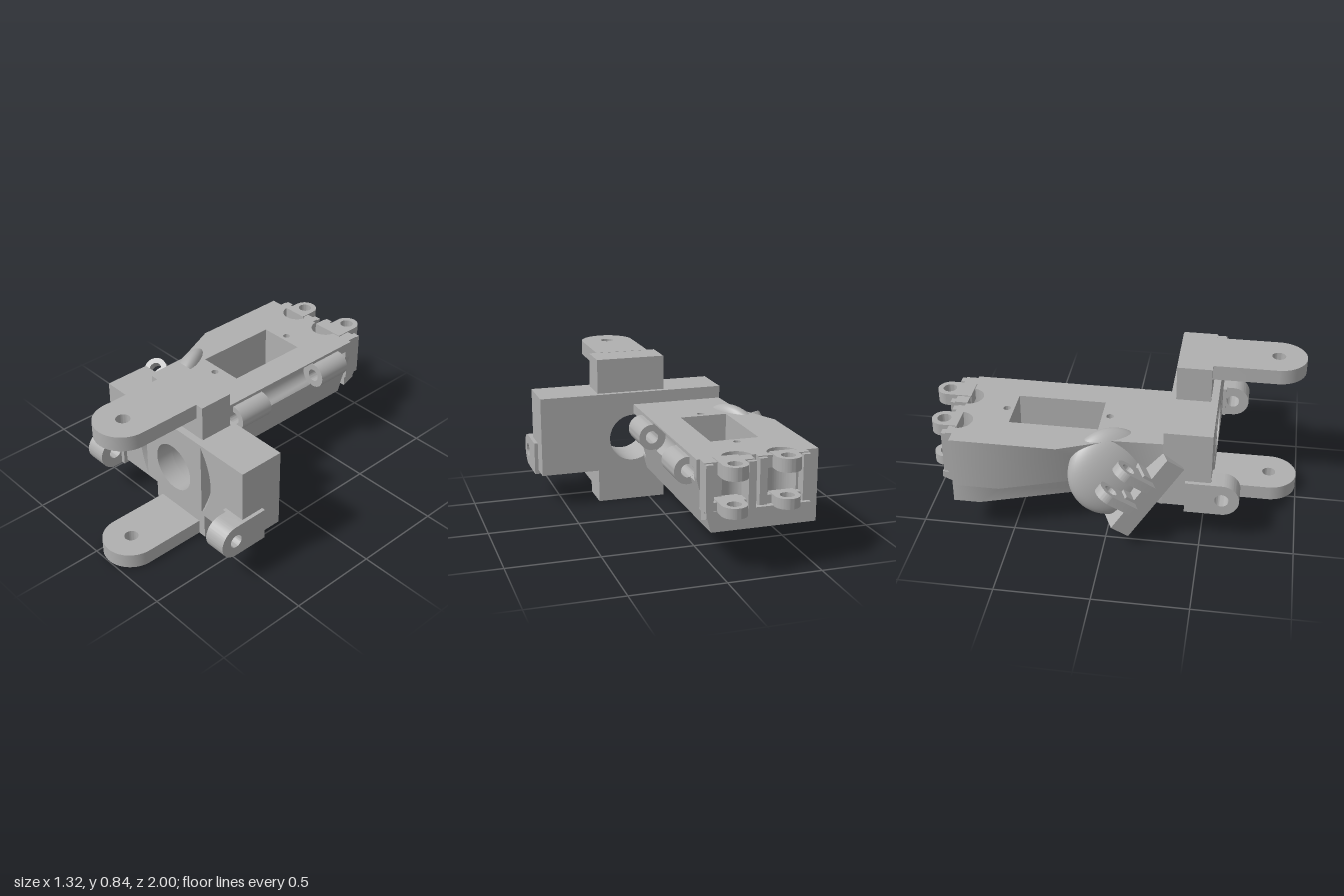
import * as THREE from 'three';
import { toCreasedNormals } from 'three/addons/utils/BufferGeometryUtils.js';

const grey = new THREE.MeshStandardMaterial({ color: 0xb0b0b0 });
grey.name = 'plain grey';

function add(parent, name, geo, x = 0, y = 0, z = 0) {
  const m = new THREE.Mesh(geo, grey);
  m.name = name;
  m.position.set(x, y, z);
  parent.add(m);
  return m;
}

// Box given by its limits on each axis
function box(parent, name, x0, x1, y0, y1, z0, z1) {
  return add(parent, name, new THREE.BoxGeometry(x1 - x0, y1 - y0, z1 - z0),
    (x0 + x1) / 2, (y0 + y1) / 2, (z0 + z1) / 2);
}

function extrude(shape, depth) {
  const g = new THREE.ExtrudeGeometry(shape, { depth, bevelEnabled: false, curveSegments: 24 });
  return toCreasedNormals(g, 0.5);
}

const polygon = (pts) => new THREE.Shape(pts.map(([x, y]) => new THREE.Vector2(x, y)));
const circle = (x, y, r) => new THREE.Path().absarc(x, y, r, 0, Math.PI * 2, true);
const rect = (x0, x1, y0, y1) => polygon([[x0, y0], [x1, y0], [x1, y1], [x0, y1]]);

// Round-ended tab with a pin hole at the origin; its stem runs down -y
function tab(r, hole, stem, thick) {
  const s = new THREE.Shape();
  s.moveTo(-r, -stem);
  s.lineTo(r, -stem);
  s.lineTo(r, 0);
  s.absarc(0, 0, r, 0, Math.PI, false);
  s.closePath();
  s.holes.push(circle(0, 0, hole));
  return extrude(s, thick).translate(0, 0, -thick / 2);
}

// Lens bounded by a straight chord and an arc bulging towards dir
function lens(chordX, sag, dir) {
  const pts = [];
  for (let i = 0; i <= 16; i++) {
    const t = -1 + i / 8;
    pts.push([chordX + dir * sag * (1 - t * t), 0.42 + 0.212 * t]);
  }
  return polygon(pts);
}

// Sloping floor of a lens: flush along the arc, deepest at the chord
function lensFloor(chordX, sag, dir) {
  const g = new THREE.PlaneGeometry(1, 2, 4, 16);
  const p = g.attributes.position;
  for (let i = 0; i < p.count; i++) {
    const t = p.getY(i);
    const w = p.getX(i) * dir + 0.5;
    p.setXYZ(i, chordX + dir * sag * (1 - t * t) * w, 0.42 + 0.212 * t, 0.545 - 0.09 * (1 - t * t) * (1 - w));
  }
  g.computeVertexNormals();
  return g;
}

function wrist(root) {
  const g = new THREE.Group();
  g.name = 'wrist';
  root.add(g);
  const outline = () => {
    const s = rect(-0.423, 0.636, 0.197, 0.645);
    s.holes.push(circle(0.105, 0.38, 0.134));
    return s;
  };
  add(g, 'crossBlockBack', extrude(outline(), 0.155), 0, 0, 0.29);
  const front = outline();
  for (const cut of [[-0.115, 0.052, -1], [0.325, 0.073, 1]]) {
    front.holes.push(lens(...cut));
    add(g, 'sideCut', lensFloor(...cut));
  }
  add(g, 'crossBlockFront', extrude(front, 0.1), 0, 0, 0.445);

  // Upper and lower posts with forward arms
  for (const [name, y0, y1, armY] of [['upper', 0.645, 0.84, 0.8], ['lower', 0, 0.197, 0.0425]]) {
    box(g, name + 'Post', -0.09, 0.3, y0, y1, 0.32, 0.506);
    add(g, name + 'Arm', tab(0.152, 0.037, 0.345, 0.082).rotateX(Math.PI / 2), 0.105, armY, 0.845);
  }

  // Side pivot lugs
  for (const [x0, x1, b0, b1] of [[-0.445, -0.326, -0.445, -0.302], [0.534, 0.656, 0.513, 0.656]]) {
    const geo = tab(0.092, 0.037, 0.195, x1 - x0).rotateX(Math.PI / 2).rotateZ(Math.PI / 2);
    add(g, 'pivotLug', geo, (x0 + x1) / 2, 0.265, 0.605);
    box(g, 'pivotLugFoot', b0, b1, 0.178, 0.357, 0.53, 0.565);
  }
}

// Sloping edge of the palm, optionally hollowed by a round groove along z
function edgeStrip(g, z0, z1, groove) {
  const pts = [[-0.03, 0.575], [-0.03, 0.19]];
  for (let i = 0; i <= 44; i++) {
    const y = 0.19 + 0.385 * i / 44;
    let x = Math.min(0.097, 0.02 + 0.27 * (y - 0.19));
    if (groove) {
      const [cx, cy, r] = groove;
      const d = r * r - (y - cy) ** 2;
      if (d > 0) x = Math.max(-0.025, Math.min(x, cx - Math.sqrt(d)));
    }
    pts.push([x, y]);
  }
  add(g, 'palmEdge', extrude(polygon(pts), z1 - z0), 0, 0, z0);
}

function palm(root) {
  const g = new THREE.Group();
  g.name = 'palm';
  root.add(g);

  // Plan outline, drawn with y = -z; finger sockets notch the far end
  const outline = (sockets) => {
    const s = new THREE.Shape();
    s.moveTo(-0.42, -0.29);
    s.lineTo(-0.03, -0.29);
    s.lineTo(-0.03, 0.81);
    for (const x of sockets) s.absarc(x, 0.81, 0.078, 0, -Math.PI, true);
    s.lineTo(-0.545, 0.81);
    s.lineTo(-0.545, 0.25);
    s.lineTo(-0.43, -0.02);
    s.closePath();
    return s;
  };
  // Raise along y; the thumb side is undercut more towards the bottom
  const layer = (name, shape, y0, y1) => {
    const geo = extrude(shape, y1 - y0).rotateX(-Math.PI / 2).translate(0, y0, 0);
    const p = geo.attributes.position;
    for (let i = 0; i < p.count; i++) {
      const k = (0.575 - p.getY(i)) / 0.385;
      if (p.getX(i) < -0.54 && p.getZ(i) > -0.3) p.setZ(i, -0.25 - 0.42 * k);
      else if (p.getX(i) < -0.425) { if (p.getZ(i) > 0) p.setX(i, -0.43 + 0.12 * k); }
    }
    add(g, name, toCreasedNormals(geo, 0.5));
  };
  layer('palmBase', outline([]), 0.19, 0.29);
  const top = outline([-0.112, -0.35]);
  top.holes.push(rect(-0.333, -0.07, 0.063, 0.54));
  for (const z of [0.58, 0.02]) top.holes.push(circle(-0.2, z, 0.02));
  layer('palmBody', top, 0.29, 0.575);

  // Hinge edge: grooves for the pin and the middle barrel, socket at the wrist
  const pin = [0.105, 0.487, 0.036];
  edgeStrip(g, 0.23, 0.29, [0.105, 0.39, 0.13]);
  edgeStrip(g, 0.18, 0.23, null);
  edgeStrip(g, -0.095, 0.18, pin);
  edgeStrip(g, -0.495, -0.095, [0.105, 0.487, 0.077]);
  edgeStrip(g, -0.77, -0.495, pin);
  edgeStrip(g, -0.81, -0.77, null);
  for (const [z0, z1] of [[-0.095, 0.115], [-0.7, -0.495]]) {
    const s = new THREE.Shape().absarc(0, 0, 0.071, 0, Math.PI * 2, false);
    s.holes.push(circle(0, 0, 0.035));
    add(g, 'hingeBarrel', extrude(s, z1 - z0), 0.105, 0.487, z0);
  }

  // Rounded swelling at the base of the thumb, flattened along its joint axis
  const swell = add(g, 'thumbSwelling', new THREE.SphereGeometry(1, 40, 28), -0.43, 0.385, 0.02);
  swell.scale.set(0.235, 0.235, 0.09);
  swell.quaternion.setFromUnitVectors(new THREE.Vector3(0, 0, 1), new THREE.Vector3(-0.85, 0.3, 0.43).normalize());
}

function knuckles(root) {
  const g = new THREE.Group();
  g.name = 'knuckles';
  root.add(g);
  for (const [x, z, x0, x1, back] of [[-0.35, -0.885, -0.48, -0.21, -0.87], [-0.053, -0.935, -0.18, 0.08, -0.9]]) {
    for (const [y0, y1] of [[0.51, 0.58], [0.32, 0.375]]) {
      add(g, 'fingerLug', tab(0.066, 0.037, -0.8 - z, y1 - y0).rotateX(-Math.PI / 2), x, (y0 + y1) / 2, z);
      // shoulders either side of the pin hole
      box(g, 'shoulder', x0, x - 0.055, y0, y1 - 0.005, back + 0.025, -0.805);
      box(g, 'shoulder', x + 0.055, x1, y0, y1 - 0.005, back + 0.025, -0.805);
    }
    for (const wx of [x0, x1 - 0.04]) box(g, 'sideWeb', wx, wx + 0.04, 0.33, 0.57, back, -0.805);
  }
  // Sloped lip below the lugs
  const lip = polygon([[0.805, 0.26], [0.88, 0.29], [0.88, 0.325], [0.805, 0.325]]);
  add(g, 'lowerLip', extrude(lip, 0.55).rotateY(Math.PI / 2), -0.48, 0, 0);
}

function thumb(root) {
  const g = new THREE.Group();
  g.name = 'thumb';
  g.position.set(-0.432, 0.294, 0.184);
  // local z runs up the thumb, local y out of its back
  const across = new THREE.Vector3(0.915, 0, -0.403).normalize();
  const along = new THREE.Vector3(0.25, 0.78, 0.57).normalize();
  const out = new THREE.Vector3().crossVectors(along, across).normalize();
  along.crossVectors(across, out);
  g.quaternion.setFromRotationMatrix(new THREE.Matrix4().makeBasis(across, out, along));
  root.add(g);
  box(g, 'thumbBlock', -0.1, 0.1, -0.06, 0.06, -0.24, 0.24);
  for (const z of [-0.08, 0.07]) {
    add(g, 'thumbLug', tab(0.066, 0.035, 0.16, 0.05), -0.034 - 0.05, 0.2, z);
    box(g, 'thumbLugRib', -0.1, 0.04, 0.05, 0.11, z - 0.04, z + 0.04);
  }
}

export function createModel() {
  const root = new THREE.Group();
  root.name = 'handFrame';
  wrist(root);
  palm(root);
  knuckles(root);
  thumb(root);
  return root;
}
